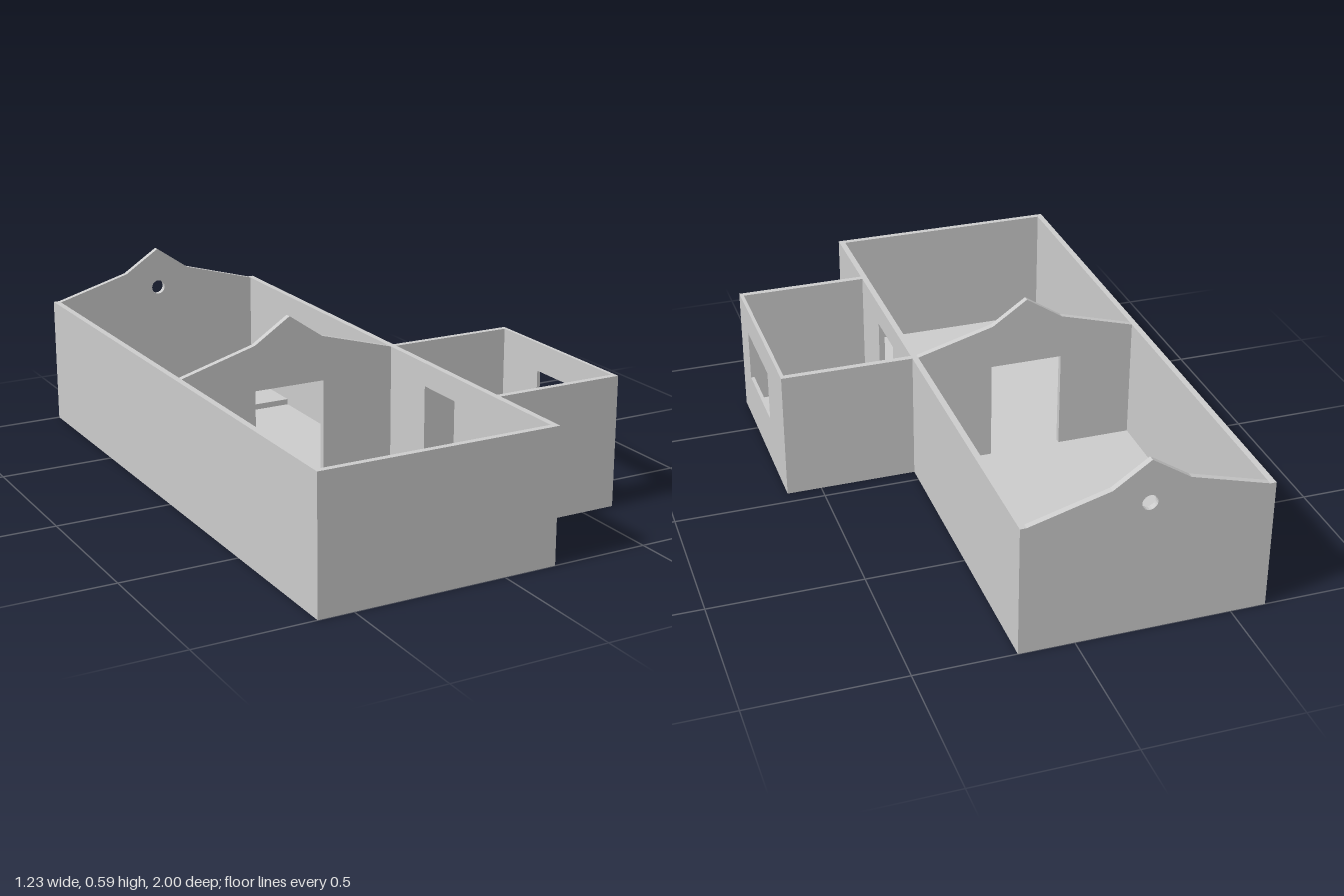
import * as THREE from 'three';

const material = new THREE.MeshStandardMaterial({ color: 0xcccccc, flatShading: true });
const FLOOR = 0.02, TOP = 0.435, T = 0.02;
// outer limits of the hall and the side room
const X0 = -0.615, X1 = 0.177, X2 = 0.615, MID = 0.05, FRONT = 0.69;

function rect(ShapeClass, u0, v0, u1, v1) {
  return new ShapeClass([[u0, v0], [u1, v0], [u1, v1], [u0, v1]].map(p => new THREE.Vector2(...p)));
}

export function createModel() {
  const model = new THREE.Group();
  const add = (name, geometry) => {
    const mesh = new THREE.Mesh(geometry, material);
    mesh.name = name;
    model.add(mesh);
    return mesh;
  };
  const box = (name, x0, x1, y0, y1, z0, z1) =>
    add(name, new THREE.BoxGeometry(x1 - x0, y1 - y0, z1 - z0))
      .position.set((x0 + x1) / 2, (y0 + y1) / 2, (z0 + z1) / 2);

  // wall facing z, drawn in x and y
  const wallZ = (name, shape, z) =>
    add(name, new THREE.ExtrudeGeometry(shape, { depth: T, bevelEnabled: false, curveSegments: 10 }))
      .position.set(0, 0, z);
  // wall facing x, drawn in -z and y
  const wallX = (name, shape, x, depth) => {
    const geometry = new THREE.ExtrudeGeometry(shape, { depth, bevelEnabled: false });
    geometry.rotateY(Math.PI / 2);
    add(name, geometry).position.x = x;
  };

  // floors
  box('hallFloor', X0, X1, 0, FLOOR, -1, 1);
  box('sideRoomFloor', X1, X2, 0, FLOOR, MID, FRONT);
  box('rearFloorStep', X0 + T, X1 - T, FLOOR, 0.04, -1 + T, -0.68);

  // plain walls
  box('hallLeftwardLongWall', X0, X0 + T, FLOOR, TOP, -1, 1);
  box('hallFrontWall', X0 + T, X1 - T, FLOOR, TOP, 1 - T, 1);
  box('sideRoomFrontWall', X1, X2, FLOOR, TOP, FRONT - T, FRONT);
  box('sideRoomBackWall', X1, X2, FLOOR, TOP, MID, MID + T);

  // long wall with a doorway into the side room
  const longWall = new THREE.Shape([
    [-1, FLOOR], [-0.463, FLOOR], [-0.463, 0.358], [-0.285, 0.358],
    [-0.285, FLOOR], [1, FLOOR], [1, TOP], [-1, TOP],
  ].map(p => new THREE.Vector2(...p)));
  wallX('hallDoorwayLongWall', longWall, X1 - T, T);

  // side room wall with a window
  const windowWall = rect(THREE.Shape, -FRONT + T, FLOOR, -MID - T, TOP);
  windowWall.holes.push(rect(THREE.Path, -0.57, 0.165, -0.27, 0.34));
  wallX('sideRoomWindowWall', windowWall, X2 - 0.012, 0.012);

  // gabled cross walls: one with a doorway, one with a round vent
  const roofline = [[X1 - T, TOP], [-0.1, 0.507], [-0.217, 0.588], [-0.341, 0.507], [X0 + T, TOP]];
  const gable = base => new THREE.Shape([...base, ...roofline].map(p => new THREE.Vector2(...p)));
  const left = [X0 + T, FLOOR], right = [X1 - T, FLOOR];

  wallZ('middleGableWall', gable([
    left, [-0.341, FLOOR], [-0.341, 0.357], [-0.096, 0.357], [-0.096, FLOOR], right,
  ]), MID);

  const backGable = gable([left, right]);
  backGable.holes.push(new THREE.Path().absarc(-0.217, 0.445, 0.025, 0, Math.PI * 2, true));
  wallZ('backGableWall', backGable, -1);

  return model;
}
